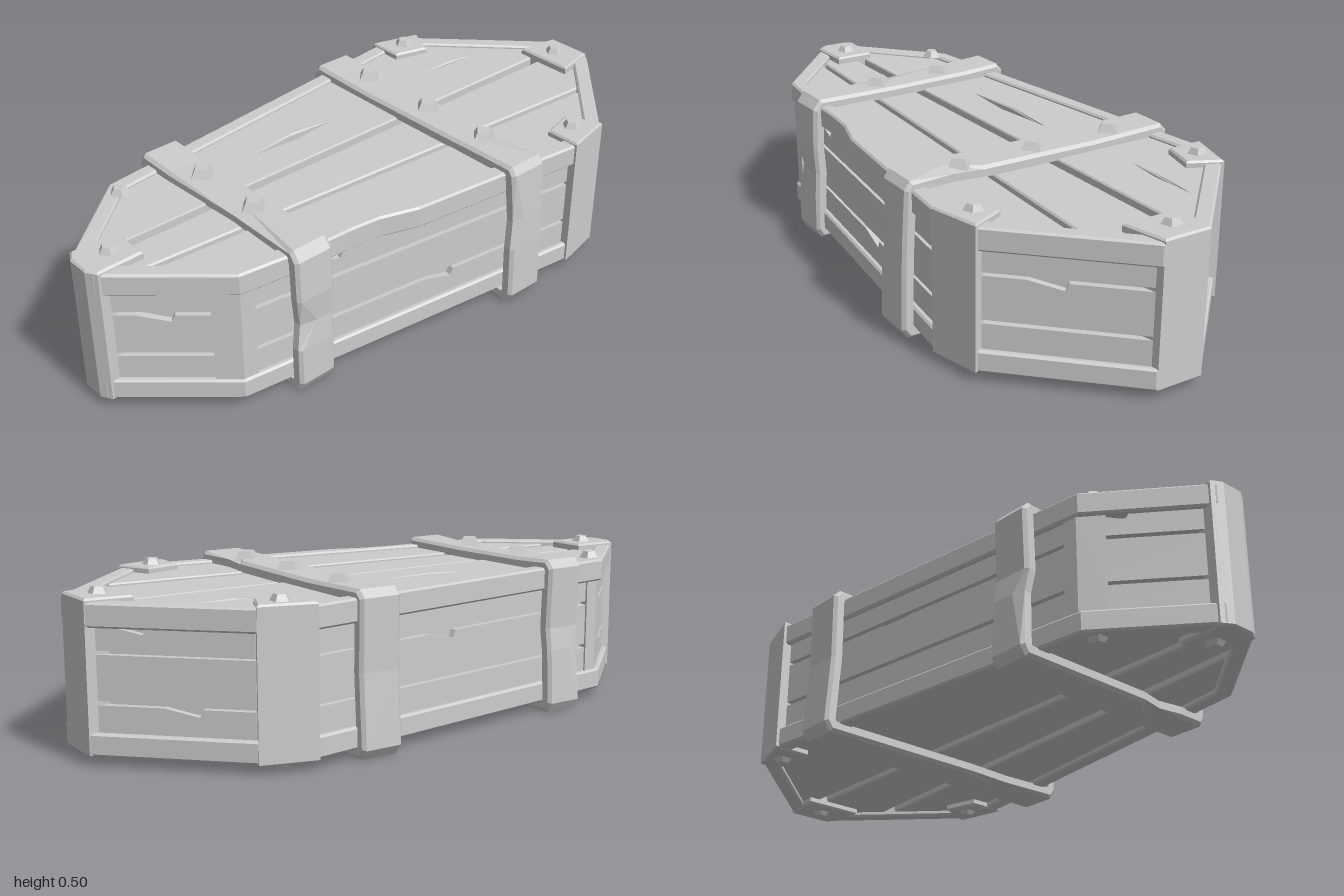
import * as THREE from 'three';

const stone = new THREE.MeshStandardMaterial({ color: 0xcccccc });
stone.name = 'plain grey';

// Plan outline (x, z), running from the back tip round to the front and back again
const outline = [[0.075, -1], [0.42, -0.66], [0.455, -0.5], [0.31, 0.69], [0.05, 0.985],
  [-0.06, 0.985], [-0.31, 0.7], [-0.465, -0.5], [-0.42, -0.66], [-0.08, -1]];

// Moves every edge of a counterclockwise polygon inward by t
function inset(poly, t) {
  const n = poly.length;
  const normal = (a, b) => new THREE.Vector2(a[1] - b[1], b[0] - a[0]).normalize();
  return poly.map((p, i) => {
    const n1 = normal(poly[(i + n - 1) % n], p), n2 = normal(p, poly[(i + 1) % n]);
    const m = n1.clone().add(n2).normalize();
    const k = t / m.dot(n1);
    return [p[0] + m.x * k, p[1] + m.y * k];
  });
}

// Keeps the part of a polygon where side(p) >= 0 (side is linear)
function clip(poly, side) {
  const out = [];
  poly.forEach((p, i) => {
    const q = poly[(i + 1) % poly.length], a = side(p), b = side(q);
    if (a >= 0) out.push(p);
    if (a * b < 0) {
      const t = a / (a - b);
      out.push([p[0] + (q[0] - p[0]) * t, p[1] + (q[1] - p[1]) * t]);
    }
  });
  return out;
}

const points = (poly) => poly.map(([x, y]) => new THREE.Vector2(x, y));

function extrude(poly, depth, holes = [], bevel = 0) {
  const shape = new THREE.Shape(points(poly));
  holes.forEach((h) => shape.holes.push(new THREE.Path(points(h))));
  const geo = new THREE.ExtrudeGeometry(shape, {
    depth: depth - 2 * bevel, bevelEnabled: bevel > 0, bevelSize: bevel,
    bevelThickness: bevel, bevelOffset: -bevel, bevelSegments: 1,
  });
  return geo.translate(0, 0, bevel);
}

function add(parent, name, geo) {
  const mesh = new THREE.Mesh(geo, stone);
  mesh.name = name;
  parent.add(mesh);
  return mesh;
}

// Horizontal slab with a plan polygon between heights y0 and y1
function slab(parent, name, poly, y0, y1, holes, bevel) {
  return add(parent, name, extrude(poly, y1 - y0, holes, bevel).rotateX(Math.PI / 2).translate(0, y1, 0));
}

function bolt(parent, x, y, z, sides, r, h, down = false) {
  const geo = new THREE.CylinderGeometry(r * 0.6, r, h, sides).toNonIndexed();
  geo.computeVertexNormals();
  if (down) geo.rotateX(Math.PI);
  add(parent, 'bolt', geo).position.set(x, y, z);
}

// Strap round the box: a chamfered loop of sections; chips nick its front or back edge
function strap(name, loop, halfWidth, chips) {
  const bev = 0.01, thick = 0.034;
  const mid = inset(loop, bev), inner = inset(loop, thick);
  const sections = loop.map((o, i) => {
    const f = chips[i] > 0 ? chips[i] : 0, b = chips[i] < 0 ? -chips[i] : 0;
    const zf = halfWidth - f * 0.3, zb = -halfWidth + b * 0.3;
    return [[...mid[i], zf], [...o, zf - bev - f], [...o, zb + bev + b],
      [...mid[i], zb], [...inner[i], zb], [...inner[i], zf]];
  });
  const pos = [];
  sections.forEach((s, i) => {
    const t = sections[(i + 1) % sections.length];
    s.forEach((a, j) => {
      const k = (j + 1) % s.length;
      pos.push(...a, ...s[k], ...t[k], ...a, ...t[k], ...t[j]);
    });
  });
  const geo = new THREE.BufferGeometry();
  geo.setAttribute('position', new THREE.Float32BufferAttribute(pos, 3));
  geo.computeVertexNormals();
  const group = new THREE.Group();
  group.name = name;
  add(group, 'band', geo);
  return group;
}

export function createModel() {
  const root = new THREE.Group();
  root.name = 'woodenCasket';

  // Inner core behind the plank gaps
  slab(root, 'core', inset(outline, 0.038), 0.075, 0.415);

  // Top and bottom rims; the top one has a broken stretch on the left side
  const broken = [...outline.slice(0, 3), [0.39, 0.1], [0.352, 0.22], [0.342, 0.32], [0.338, 0.46], ...outline.slice(3)];
  const opening = inset(outline, 0.05);
  slab(root, 'topRim', broken, 0.39, 0.46, [opening], 0.006);
  slab(root, 'bottomRim', outline, 0.03, 0.095, [opening], 0.006);

  // Lid and floor planks between slightly slanted gaps, with long splits
  const gaps = [[-0.045, -0.03], [0.215, 0.1]];
  const splits = [
    [[[-0.185, -0.1], [-0.165, 0.1], [-0.172, 0.28], [-0.195, 0.1]],
      [[-0.215, -0.76], [-0.212, -0.62], [-0.22, -0.5], [-0.222, -0.62]]],
    [[[0.06, 0.5], [0.11, 0.49], [0.07, 0.56]]],
    [],
  ];
  const panel = inset(outline, 0.046);
  const at = ([a, b], z) => a + (b - a) * (z + 1) / 2;
  for (let i = 0; i < 3; i++) {
    let poly = panel;
    if (i > 0) poly = clip(poly, ([x, z]) => x - at(gaps[i - 1], z) - 0.013);
    if (i < 2) poly = clip(poly, ([x, z]) => at(gaps[i], z) - 0.013 - x);
    slab(root, 'lidPlank', poly, 0.41, 0.45 - (i % 2) * 0.004, splits[i], 0.005);
    slab(root, 'floorPlank', poly, 0.045, 0.08, [], 0.005);
  }

  // Wall planks, three to a side, some with a split running in from the edge
  const wall = inset(outline, 0.036);
  const rows = [[0.09, 0.172], [0.184, 0.314], [0.326, 0.395]];
  [0, 2, 3, 5, 6, 8].forEach((e, w) => {
    const q = wall[e], p = wall[(e + 1) % wall.length];
    const dx = q[0] - p[0], dz = q[1] - p[1], len = Math.hypot(dx, dz);
    const frame = new THREE.Matrix4().makeBasis(
      new THREE.Vector3(dx / len, 0, dz / len), new THREE.Vector3(0, 1, 0),
      new THREE.Vector3(-dz / len, 0, dx / len)).setPosition(p[0], 0, p[1]);
    rows.forEach(([y0, y1], r) => {
      const u = len * (0.25 + 0.17 * ((w * 2 + r) % 4));
      const poly = [[0, y0], [len, y0], [len, y1]];
      if ((w + r) % 2) poly.push([u + 0.04, y1], [u + 0.03, y1 - 0.022], [u - 0.07, y1]);
      poly.push([0, y1]);
      add(root, 'wallPlank', extrude(poly, 0.02)).applyMatrix4(frame);
    });
  });

  // Corner posts with bolts above and below
  const posts = [
    [[-0.082, -1], [0.07, -1], [0.1, -0.86], [-0.1, -0.86]],
    [[-0.475, -0.5], [-0.427, -0.665], [-0.325, -0.615], [-0.355, -0.5]],
    [[0.462, -0.5], [0.345, -0.5], [0.315, -0.615], [0.425, -0.665]],
    [[-0.075, 0.975], [-0.068, 0.825], [0.06, 0.825], [0.065, 0.975], [0.03, 0.995], [-0.04, 0.995]],
  ];
  const boltSpots = [[-0.01, -0.925], [-0.4, -0.575], [0.375, -0.575], [-0.005, 0.895]];
  posts.forEach((poly, i) => {
    slab(root, 'cornerPost', poly, 0.025, 0.47, [], 0.006);
    const [x, z] = boltSpots[i];
    bolt(root, x, 0.478, z, 5, 0.032, 0.022);
    bolt(root, x, 0.019, z, 5, 0.032, 0.016, true);
  });
  bolt(root, -0.25, 0.469, 0.7, 5, 0.032, 0.022);
  bolt(root, -0.25, 0.024, 0.7, 5, 0.032, 0.016, true);

  // Short posts at the front shoulders, between the rims
  for (const s of [1, -1]) {
    const poly = [[0.303, 0.685], [0.25, 0.747], [0.2, 0.7], [0.25, 0.64], [0.308, 0.64]];
    slab(root, 'shoulderPost', poly.map(([x, z]) => [x * s, z]), 0.09, 0.395);
  }

  // Straps, each with its row of diamond studs
  const backStrap = strap('backStrap', [[-0.455, 0], [0.1, 0], [0.25, 0], [0.455, 0], [0.476, 0.03],
    [0.472, 0.2], [0.468, 0.3], [0.458, 0.46], [0.44, 0.485], [0.3, 0.484], [0.2, 0.482], [-0.2, 0.478],
    [-0.445, 0.484], [-0.468, 0.46], [-0.465, 0.25], [-0.478, 0.03]], 0.068,
  [0, 0, 0.03, 0, 0, 0, 0.03, 0, 0, -0.045, 0, 0, 0, 0, 0, 0]);
  backStrap.position.z = -0.29;
  [-0.28, 0, 0.25].forEach((x) => bolt(backStrap, x, 0.49, -0.015, 4, 0.045, 0.03));

  const frontStrap = strap('frontStrap', [[-0.365, 0], [0.1, 0], [0.18, 0], [0.26, 0], [0.355, 0], [0.372, 0.03],
    [0.37, 0.15], [0.364, 0.23], [0.37, 0.32], [0.364, 0.45], [0.34, 0.482], [0.07, 0.478], [-0.22, 0.48],
    [-0.35, 0.486], [-0.372, 0.46], [-0.365, 0.27], [-0.375, 0.2], [-0.384, 0.03]], 0.066,
  [0, 0, 0.05, 0, 0, 0, 0, 0.045, 0, 0, 0, 0.035, 0, 0, 0, 0, 0.03, 0]);
  frontStrap.position.z = 0.478;
  frontStrap.rotation.y = 0.02;
  [-0.145, 0.095].forEach((x) => bolt(frontStrap, x, 0.49, -0.003, 4, 0.045, 0.03));

  root.add(backStrap, frontStrap);
  return root;
}
